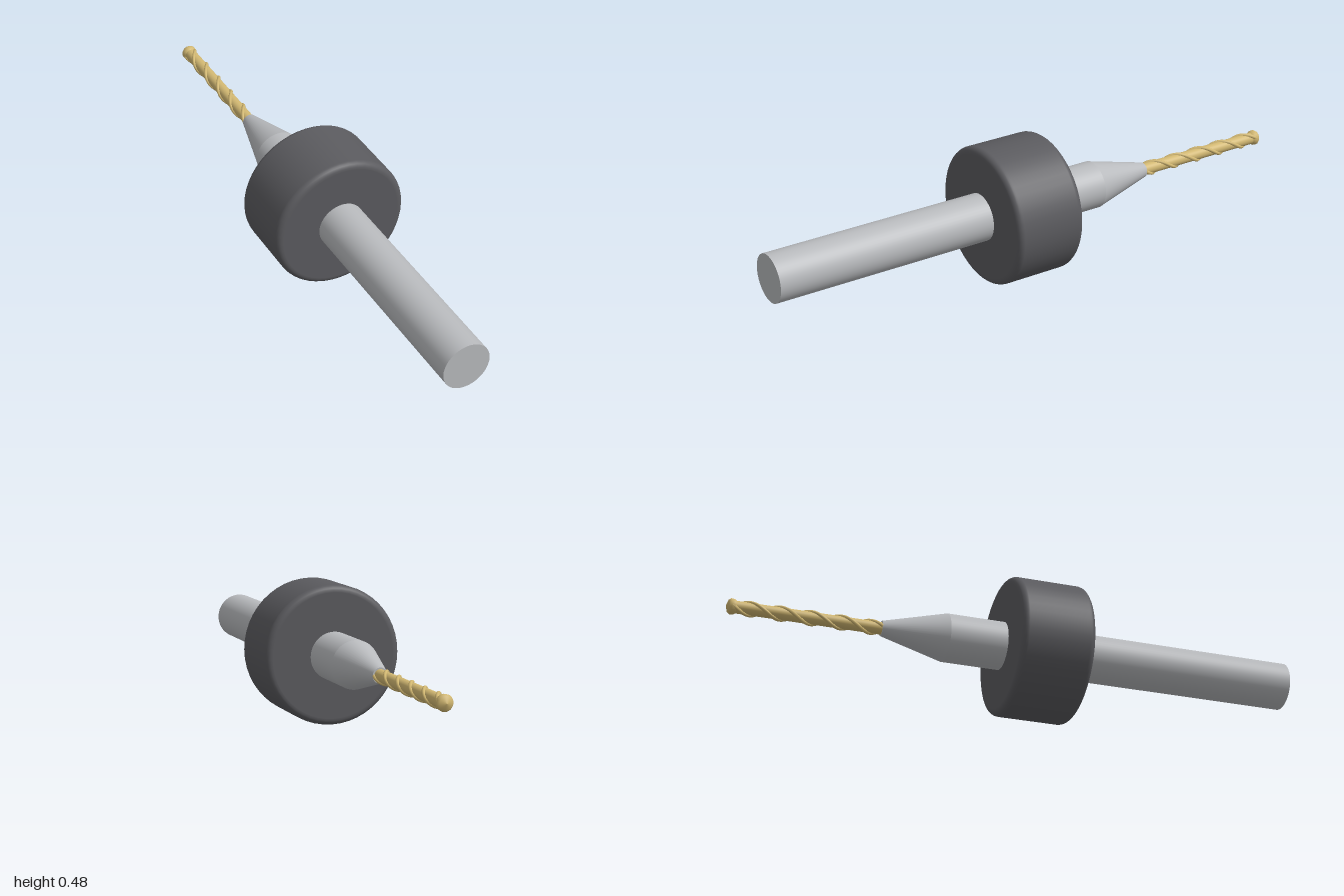
import * as THREE from 'three';

const mat = (name, color) => {
  const m = new THREE.MeshStandardMaterial({ color });
  m.name = name;
  return m;
};

// Strand winding right-handed around the local y axis
class Helix extends THREE.Curve {
  constructor(radius, start, end, pitch, phase) {
    super();
    Object.assign(this, { radius, start, end, pitch, phase });
  }
  getPoint(t, target = new THREE.Vector3()) {
    const y = this.start + (this.end - this.start) * t;
    const a = this.phase - ((y - this.start) / this.pitch) * Math.PI * 2;
    return target.set(this.radius * Math.cos(a), y, this.radius * Math.sin(a));
  }
}

export function createModel() {
  const steel = mat('steel', 0xb8babd);
  const rubber = mat('dark collar', 0x5b5b5f);
  const gold = mat('gold coating', 0xd2b872);

  const model = new THREE.Group();
  model.name = 'drillBit';

  // Everything is turned around local y, which then points to the back (-z)
  const axis = new THREE.Group();
  axis.name = 'bitAxis';
  axis.rotation.x = -Math.PI / 2;
  axis.position.y = 0.242;
  model.add(axis);

  const add = (name, geometry, material) => {
    const mesh = new THREE.Mesh(geometry, material);
    mesh.name = name;
    axis.add(mesh);
  };
  const rod = (name, rTop, rBottom, from, to, material) => {
    const g = new THREE.CylinderGeometry(rTop, rBottom, to - from, 48);
    g.translate(0, (from + to) / 2, 0);
    add(name, g, material);
  };

  // Shank and its taper
  rod('shank', 0.083, 0.083, -1, 0.254, steel);
  rod('taper', 0.026, 0.083, 0.254, 0.475, steel);

  // Depth collar with rounded rims
  const R = 0.241, r = 0.022, y0 = -0.207, y1 = 0.052;
  const profile = [new THREE.Vector2(0.08, y0), new THREE.Vector2(R - r - 0.002, y0)];
  for (const [cy, start] of [[y0 + r, -Math.PI / 2], [y1 - r, 0]]) {
    for (let i = 0; i <= 6; i++) {
      const a = start + (i / 6) * Math.PI / 2;
      profile.push(new THREE.Vector2(R - r + r * Math.cos(a), cy + r * Math.sin(a)));
    }
  }
  profile.push(new THREE.Vector2(R - r - 0.002, y1), new THREE.Vector2(0.08, y1));
  add('collar', new THREE.LatheGeometry(profile, 48), rubber);

  // Fluted drill: core, two helical lands and the cutting tip
  rod('drillCore', 0.021, 0.021, 0.47, 0.98, gold);
  for (let i = 0; i < 2; i++) {
    const path = new Helix(0.0205, 0.474, 0.982, 0.205, i * Math.PI);
    add('helicalLand' + (i + 1), new THREE.TubeGeometry(path, 120, 0.0065, 8), gold);
  }
  const tip = [[0.02, 0.965], [0.026, 0.973], [0.027, 0.985], [0.021, 0.993], [0.0001, 1]];
  add('drillTip', new THREE.LatheGeometry(tip.map(p => new THREE.Vector2(...p)), 32), gold);

  return model;
}
